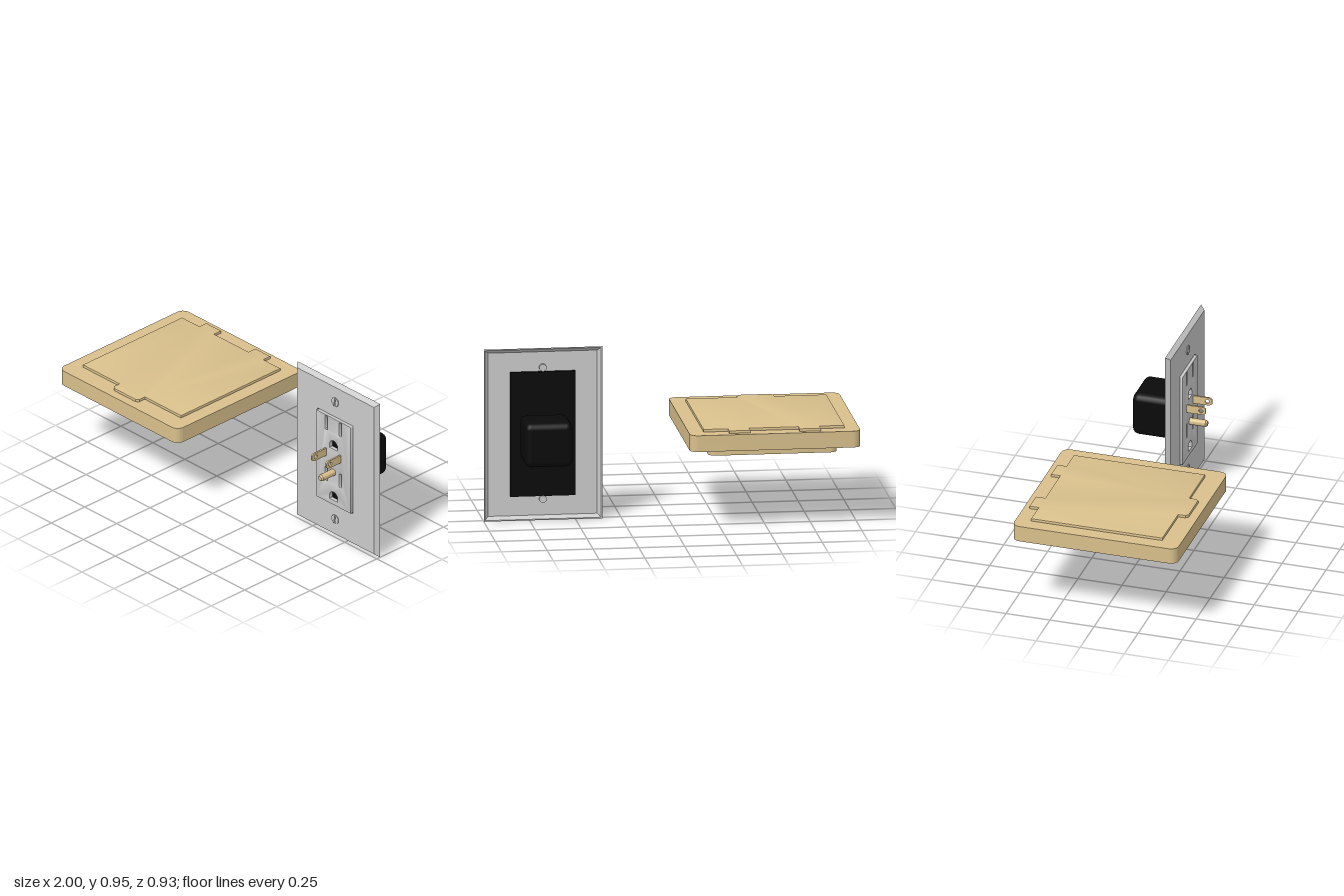
import * as THREE from 'three';
import { toCreasedNormals } from 'three/addons/utils/BufferGeometryUtils.js';
import { RoundedBoxGeometry } from 'three/addons/geometries/RoundedBoxGeometry.js';

const grey = new THREE.MeshStandardMaterial({ color: 0xcccccc });
const tan = new THREE.MeshStandardMaterial({ color: 0xd9c08c });
const black = new THREE.MeshStandardMaterial({ color: 0x0a0a0a });

function add(parent, name, geometry, material, x = 0, y = 0, z = 0) {
  const mesh = new THREE.Mesh(geometry, material);
  mesh.name = name;
  mesh.position.set(x, y, z);
  parent.add(mesh);
  return mesh;
}

// Rectangle with rounded corners, w by h, centred on cx, cy
function roundRect(w, h, r, cx = 0, cy = 0, Type = THREE.Shape) {
  const s = new Type(), a = w / 2 - r, b = h / 2 - r;
  s.absarc(cx + a, cy + b, r, 0, Math.PI / 2);
  s.absarc(cx - a, cy + b, r, Math.PI / 2, Math.PI);
  s.absarc(cx - a, cy - b, r, Math.PI, Math.PI * 1.5);
  s.absarc(cx + a, cy - b, r, Math.PI * 1.5, Math.PI * 2);
  s.closePath();
  return s;
}

// Extrusion from z = 0 to depth; an optional bevel stays inside the outline
function extrude(shape, depth, bevel = 0) {
  const g = new THREE.ExtrudeGeometry(shape, {
    depth: depth - 2 * bevel, bevelEnabled: bevel > 0, bevelSize: bevel,
    bevelThickness: bevel, bevelOffset: -bevel, bevelSegments: 2, curveSegments: 8,
  });
  g.translate(0, 0, bevel);
  return toCreasedNormals(g, 0.6);
}

// Extrusion standing on the floor plane: shape y becomes -z, depth becomes height
const slab = (shape, height, bevel) => extrude(shape, height, bevel).rotateX(-Math.PI / 2);

// Flat-sided skin through rectangular sections [halfWidth, halfHeight, z]
function rectLoft(sections) {
  const pos = [];
  const corner = ([w, h, z], i) => [[w, -h, z], [w, h, z], [-w, h, z], [-w, -h, z]][i % 4];
  for (let s = 0; s < sections.length - 1; s++) {
    for (let i = 0; i < 4; i++) {
      const a = corner(sections[s], i), b = corner(sections[s], i + 1);
      const c = corner(sections[s + 1], i), d = corner(sections[s + 1], i + 1);
      pos.push(...a, ...c, ...b, ...b, ...c, ...d);
    }
  }
  const g = new THREE.BufferGeometry();
  g.setAttribute('position', new THREE.Float32BufferAttribute(pos, 3));
  g.computeVertexNormals();
  return g;
}

function createFloorBox() {
  const box = new THREE.Group();
  box.name = 'floorBox';
  box.position.x = -0.535;

  // Hollow flange: top sheet and thin skirt
  add(box, 'flangeTop', slab(roundRect(0.93, 0.934, 0.045), 0.012), tan, 0, 0.533, 0);
  const skirt = roundRect(0.93, 0.934, 0.045);
  skirt.holes.push(roundRect(0.906, 0.91, 0.033, 0, 0, THREE.Path));
  add(box, 'flangeSkirt', slab(skirt, 0.078), tan, 0, 0.455, 0);

  add(box, 'boxBody', slab(roundRect(0.7, 0.704, 0.04), 0.13), tan, 0, 0.405, 0);

  // Lid with two hinge tabs at the back and one finger tab at the front
  const lid = new THREE.Shape();
  [[-0.385, -0.362], [-0.1, -0.362], [-0.1, -0.402], [-0.085, -0.417], [0.085, -0.417],
    [0.1, -0.402], [0.1, -0.362], [0.383, -0.362], [0.383, 0.382], [0.25, 0.382],
    [0.25, 0.434], [0.134, 0.434], [0.134, 0.382], [-0.134, 0.382], [-0.134, 0.434],
    [-0.25, 0.434], [-0.25, 0.382], [-0.385, 0.382]]
    .forEach(([x, y], i) => (i ? lid.lineTo(x, y) : lid.moveTo(x, y)));
  lid.closePath();
  add(box, 'lid', slab(lid, 0.02, 0.003), tan, 0, 0.54, 0);
  return box;
}

// Slot and ground openings of one socket, centred on cy
function socketHoles(cy) {
  const holes = [-0.056, 0.054].map((x) => roundRect(0.018, 0.083, 0.004, x, cy + 0.065, THREE.Path));
  const ground = new THREE.Path();
  ground.moveTo(-0.031, cy - 0.077);
  ground.lineTo(0.031, cy - 0.077);
  ground.lineTo(0.031, cy - 0.058);
  ground.absarc(0, cy - 0.058, 0.031, 0, Math.PI);
  ground.closePath();
  holes.push(ground);
  return holes;
}

function createOutlet() {
  const outlet = new THREE.Group();
  outlet.name = 'wallOutlet';
  outlet.position.set(0.677, 0.4775, 0);

  // Wall plate: front sheet with a window, and a sloping hollow rim
  const sheet = new THREE.Shape();
  sheet.moveTo(-0.302, -0.457);
  sheet.lineTo(0.302, -0.457);
  sheet.lineTo(0.302, 0.457);
  sheet.lineTo(-0.302, 0.457);
  sheet.closePath();
  sheet.holes.push(roundRect(0.278, 0.546, 0.003, 0, 0, THREE.Path));
  add(outlet, 'wallPlate', extrude(sheet, 0.006), grey, 0, 0, -0.006);
  add(outlet, 'plateRim', rectLoft([[0.302, 0.457, 0], [0.323, 0.4775, -0.025],
    [0.317, 0.4715, -0.025], [0.297, 0.452, -0.005]]), grey);

  // Receptacle face with two sockets
  const face = roundRect(0.27, 0.538, 0.004);
  face.holes.push(...socketHoles(0.155), ...socketHoles(-0.163));
  add(outlet, 'receptacleFace', extrude(face, 0.022, 0.002), grey, 0, 0, -0.007);
  add(outlet, 'backPlate', new THREE.BoxGeometry(0.355, 0.69, 0.015), black, 0, 0, -0.0145);

  // Slotted dome screws that poke through the plate
  const half = new THREE.Shape();
  half.absarc(0, 0, 0.027, Math.PI * 0.04, Math.PI * 0.96);
  half.closePath();
  for (const y of [0.367, -0.363]) {
    const screw = new THREE.Group();
    screw.name = 'plateScrew';
    screw.position.set(0, y, 0);
    screw.rotation.z = 1.4;
    for (const turn of [0, Math.PI]) {
      add(screw, 'screwHead', extrude(half, 0.006, 0.002), grey).rotation.z = turn;
    }
    add(screw, 'screwShank', new THREE.CylinderGeometry(0.02, 0.02, 0.02, 16).rotateX(Math.PI / 2),
      grey, 0, 0, -0.014);
    outlet.add(screw);
  }
  return outlet;
}

function createPlug() {
  const plug = new THREE.Group();
  plug.name = 'plug';
  plug.position.set(0.675, 0.468, 0);
  add(plug, 'plugBody', new RoundedBoxGeometry(0.26, 0.246, 0.252, 2, 0.036), black, 0, 0, -0.151);

  // Flat blades with chamfered tips and a hole; profile runs along z
  const blade = new THREE.Shape();
  [[-0.03, -0.023], [0.108, -0.023], [0.123, -0.013], [0.123, 0.013], [0.108, 0.023], [-0.03, 0.023]]
    .forEach(([z, y], i) => (i ? blade.lineTo(z, y) : blade.moveTo(z, y)));
  blade.closePath();
  const hole = new THREE.Path();
  hole.absarc(0.095, 0, 0.012, 0, Math.PI * 2);
  blade.holes.push(hole);
  for (const x of [-0.057, 0.056]) {
    const g = extrude(blade, 0.01).translate(0, 0, -0.005).rotateY(-Math.PI / 2);
    add(plug, 'blade', g, tan, x, 0.05, 0);
  }

  // Round ground pin with a chamfered tip
  const profile = [[0, -0.03], [0.019, -0.03], [0.019, 0.106], [0.012, 0.115], [0, 0.115]]
    .map(([r, h]) => new THREE.Vector2(r, h));
  const pin = toCreasedNormals(new THREE.LatheGeometry(profile, 20), 0.5).rotateX(Math.PI / 2);
  add(plug, 'groundPin', pin, tan, 0, -0.056, 0);
  return plug;
}

export function createModel() {
  const model = new THREE.Group();
  model.name = 'floorBoxAndOutlet';
  model.add(createFloorBox(), createOutlet(), createPlug());
  return model;
}
